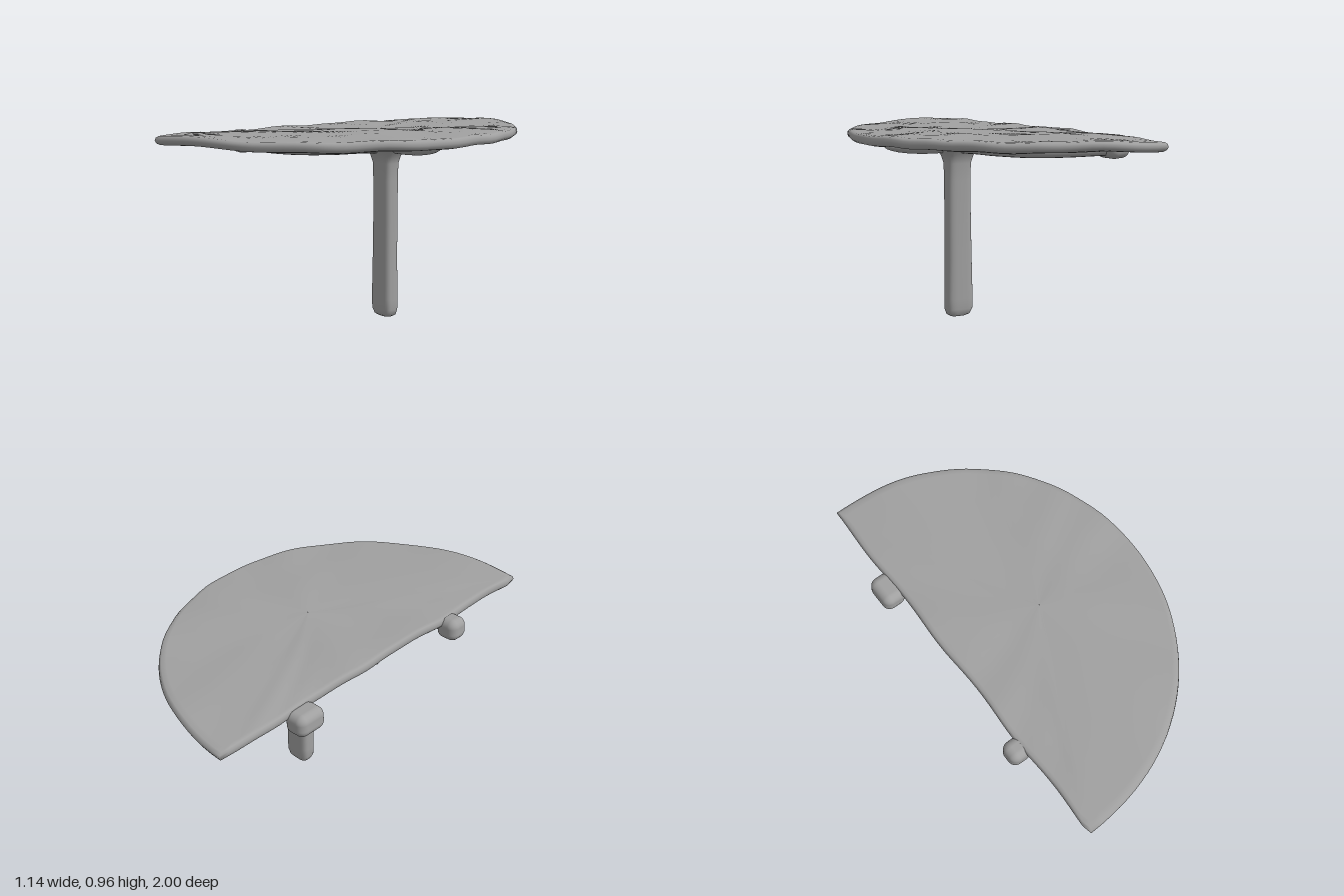
import * as THREE from 'three';
import { RoundedBoxGeometry } from 'three/addons/geometries/RoundedBoxGeometry.js';

// Skin over closed rings of points stacked bottom to top
function loft(rings) {
  const n = rings[0].length, index = [];
  for (let i = 0; i < rings.length - 1; i++) {
    for (let j = 0; j < n; j++) {
      const a = i * n + j, b = i * n + (j + 1) % n, c = a + n, d = b + n;
      index.push(a, c, b, b, c, d);
    }
  }
  const g = new THREE.BufferGeometry().setFromPoints(rings.flat());
  g.setIndex(index);
  g.computeVertexNormals();
  return g;
}

// Gentle hand-made unevenness
const wobble = (x, z) =>
  0.004 * Math.sin(9 * x + 4 * z) + 0.003 * Math.sin(13 * z - 7 * x + 1) + 0.002 * Math.sin(23 * z + 11 * x);

// Half-round outline: curved front, straight back edge
function tableOutline() {
  const pts = [];
  for (let i = 0; i <= 64; i++) {
    const t = (i / 64 - 0.5) * Math.PI;
    const x = -0.48 + 1.04 * Math.pow(Math.max(Math.cos(t), 0), 0.93);
    pts.push([x, Math.sin(t)]);
  }
  for (let i = 1; i < 40; i++) {
    const z = 1 - i / 20;
    pts.push([-0.485 + 0.006 * Math.sin(z * 11), z]);
  }
  return pts;
}

function tableTop() {
  const outline = tableOutline();
  const profile = [[0.001, 0.893], [0.25, 0.893], [0.5, 0.894], [0.75, 0.896], [0.93, 0.898], [0.975, 0.902],
    [0.993, 0.911], [1, 0.924], [0.996, 0.938], [0.982, 0.947], [0.95, 0.951], [0.75, 0.953], [0.5, 0.955],
    [0.25, 0.956], [0.001, 0.956]];
  return loft(profile.map(([k, y]) =>
    outline.map(([x, z]) => new THREE.Vector3(x * k, y + wobble(x * k, z * k), z * k))));
}

// Flattened post: [height, centre x, half width, half depth]
function legGeometry() {
  const sections = [[0.006, 0.058, 0.001, 0.001], [0.008, 0.058, 0.04, 0.022], [0.018, 0.056, 0.06, 0.036],
    [0.045, 0.054, 0.071, 0.043], [0.1, 0.054, 0.072, 0.045], [0.3, 0.055, 0.068, 0.043], [0.5, 0.058, 0.066, 0.043],
    [0.7, 0.06, 0.065, 0.045], [0.79, 0.06, 0.067, 0.047], [0.83, 0.06, 0.08, 0.057], [0.86, 0.06, 0.105, 0.078],
    [0.9, 0.06, 0.14, 0.11], [0.92, 0.06, 0.001, 0.001]];
  const round = v => Math.sign(v) * Math.pow(Math.abs(v), 0.6);
  return loft(sections.map(([y, cx, w, d]) => Array.from({ length: 32 }, (_, j) => {
    const t = j / 32 * Math.PI * 2;
    return new THREE.Vector3(cx + w * round(Math.cos(t)), y, d * round(Math.sin(t)));
  })));
}

export function createModel() {
  const group = new THREE.Group();
  const grey = new THREE.MeshStandardMaterial({ color: 0xa0a0a0 });
  grey.name = 'plain grey';
  const add = (name, geometry) => {
    const mesh = new THREE.Mesh(geometry, grey);
    mesh.name = name;
    group.add(mesh);
    return mesh;
  };

  add('tableTop', tableTop());
  add('leg', legGeometry());

  // Curved support arms with knobs past the straight edge
  for (const [side, name, endX, endZ, w] of [[1, 'front', -0.505, 0.485, 0.11], [-1, 'back', -0.515, 0.525, 0.16]]) {
    const path = new THREE.CatmullRomCurve3([
      [0.06, 0.875, 0], [0.05, 0.882, 0.15], [0.02, 0.882, 0.3], [-0.09, 0.88, endZ - 0.07],
      [-0.24, 0.88, endZ - 0.01], [endX, 0.88, endZ],
    ].map(([x, y, z]) => new THREE.Vector3(x, y, z * side)));
    add(name + 'Arm', new THREE.TubeGeometry(path, 48, 0.038, 14));
    const knob = add(name + 'Knob', new RoundedBoxGeometry(0.12, 0.112, w, 5, 0.04));
    knob.position.set(endX, 0.886, endZ * side);
    knob.rotation.z = -0.08;
  }

  // Shallow centre ridge under the top, tapering at both ends
  const ridge = add('centreRidge', new THREE.SphereGeometry(1, 32, 16));
  ridge.scale.set(0.27, 0.05, 0.05);
  ridge.position.set(0.2, 0.892, 0);
  const backRidge = add('backRidge', new THREE.SphereGeometry(1, 32, 16));
  backRidge.scale.set(0.42, 0.035, 0.04);
  backRidge.position.set(-0.05, 0.893, 0);

  return group;
}
